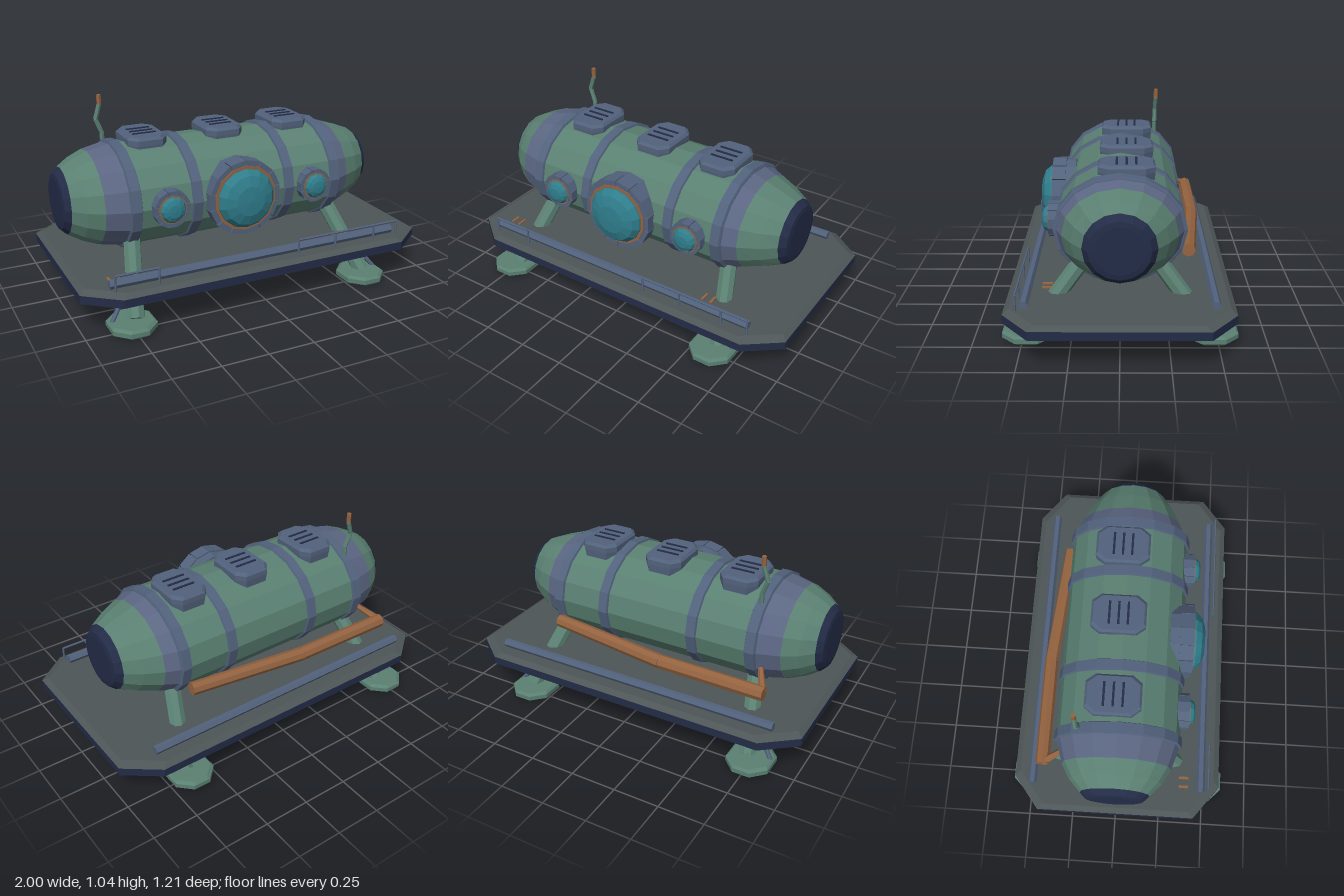
import * as THREE from 'three';

const mat = (name, color) => {
  const m = new THREE.MeshStandardMaterial({ color, flatShading: true });
  m.name = name;
  return m;
};

export function createModel() {
  const M = {
    green: mat('hull green', 0x5a8072),
    slate: mat('slate metal', 0x52627c),
    violet: mat('violet slate collar', 0x5b6682),
    navy: mat('dark navy', 0x232c47),
    deck: mat('deck grey', 0x4d5556),
    glass: mat('teal glass', 0x2f7d8c),
    copper: mat('copper brown', 0x946340),
  };
  const root = new THREE.Group();
  root.name = 'habitatModule';

  const add = (name, geo, material, parent = root) => {
    const m = new THREE.Mesh(geo, material);
    m.name = name;
    parent.add(m);
    return m;
  };
  const V = (p) => new THREE.Vector3(...p);

  // Skin a stack of point rings (counterclockwise about the stacking axis)
  const skin = (rings, capStart = true, capEnd = true) => {
    const pos = [], n = rings[0].length;
    const tri = (a, b, c) => pos.push(...a, ...b, ...c);
    for (let k = 0; k < rings.length - 1; k++) {
      const A = rings[k], B = rings[k + 1];
      for (let i = 0; i < n; i++) {
        const j = (i + 1) % n;
        tri(A[i], A[j], B[j]);
        tri(A[i], B[j], B[i]);
      }
    }
    const first = rings[0], last = rings[rings.length - 1];
    for (let i = 1; i < n - 1; i++) {
      if (capStart) tri(first[0], first[i + 1], first[i]);
      if (capEnd) tri(last[0], last[i], last[i + 1]);
    }
    const g = new THREE.BufferGeometry();
    g.setAttribute('position', new THREE.Float32BufferAttribute(pos, 3));
    g.computeVertexNormals();
    return g;
  };

  // Elliptical rings along x: [x, y radius, z radius]
  const CY = 0.555;
  const barrel = (stations, c0, c1) => skin(stations.map(([x, ry, rz]) =>
    Array.from({ length: 16 }, (_, i) => {
      const a = (i / 16) * Math.PI * 2;
      return [x, CY + ry * Math.cos(a), rz * Math.sin(a)];
    })), c0, c1);

  // Chamfered rectangle stacked along y: levels are [y, inset]
  const slab = (w, d, cx, cz, levels, c0, c1) => skin(levels.map(([y, s]) => {
    const X = w / 2 - s, Z = d / 2 - s;
    return [[-X + cx, Z], [X - cx, Z], [X, Z - cz], [X, -Z + cz],
      [X - cx, -Z], [-X + cx, -Z], [-X, -Z + cz], [-X, Z - cz]].map(([x, z]) => [x, y, z]);
  }), c0, c1);

  // Straight bar between two points
  const bar = (name, a, b, r, material, sides = 6, r2 = r, parent = root) => {
    const A = V(a), B = V(b), dir = B.clone().sub(A);
    const m = add(name, new THREE.CylinderGeometry(r2, r, dir.length(), sides), material, parent);
    m.position.copy(A).add(B).multiplyScalar(0.5);
    m.quaternion.setFromUnitVectors(new THREE.Vector3(0, 1, 0), dir.normalize());
    return m;
  };

  // Hull
  const body = [0.275, 0.333];
  add('hullBody', barrel([[-0.67, ...body], [0.53, ...body]], false, false), M.green);
  add('leftCollar', barrel([[0.53, ...body], [0.62, 0.245, 0.295]], false, false), M.violet);
  add('rightCollar', barrel([[-0.8, 0.25, 0.292], [-0.67, ...body]], false, false), M.violet);
  add('leftNose', barrel([[0.62, 0.245, 0.295], [0.72, 0.212, 0.243], [0.8, 0.18, 0.185]], false, false), M.green);
  add('rightNose', barrel([[-0.945, 0.18, 0.185], [-0.88, 0.218, 0.245], [-0.8, 0.25, 0.292]], false, false), M.green);
  add('leftEndCap', barrel([[0.8, 0.18, 0.185], [0.835, 0.15, 0.155], [0.84, 0.123, 0.123]], false, true), M.navy);
  add('rightEndCap', barrel([[-0.98, 0.123, 0.123], [-0.975, 0.15, 0.155], [-0.945, 0.18, 0.185]], true, false), M.navy);
  for (const x of [-0.65, -0.315, 0.225, 0.515])
    add('hullBand', barrel([[x - 0.032, 0.272, 0.33], [x - 0.026, 0.287, 0.344],
      [x + 0.026, 0.287, 0.344], [x + 0.032, 0.272, 0.33]]), M.slate);

  // Portholes: segmented ring, copper seat, domed glass
  const porthole = (x, R, rg, zRing, zGlass, n) => {
    const g = new THREE.Group();
    g.name = 'porthole';
    g.position.set(x, CY, 0);
    root.add(g);
    const disc = (name, r, z0, z1, m) => {
      const c = add(name, new THREE.CylinderGeometry(r, r, z1 - z0, n), m, g);
      c.rotation.x = Math.PI / 2;
      c.position.z = (z0 + z1) / 2;
    };
    disc('portholeHousing', R * 0.96, 0.25, zRing - 0.008, M.slate);
    disc('copperSeat', rg * 1.1, 0.3, zRing + 0.004, M.copper);
    for (let i = 0; i < n; i++) {
      const a = (i / n) * Math.PI * 2, h = Math.PI / n * 0.94, ri = rg * 1.04;
      const s = new THREE.Shape([[ri, -h], [R, -h], [R, h], [ri, h]].map(([r, t]) =>
        new THREE.Vector2(r * Math.cos(a + t), r * Math.sin(a + t))));
      const b = add('ringSegment', new THREE.ExtrudeGeometry(s, { depth: zRing - 0.305, bevelEnabled: false }), M.slate, g);
      b.position.z = 0.305;
    }
    const d = zGlass - zRing;
    const dome = add('glassDome', new THREE.LatheGeometry([[rg, -0.01], [rg, d * 0.2],
      [rg * 0.84, d * 0.65], [rg * 0.5, d * 0.93], [0, d]].map((p) => new THREE.Vector2(...p)), n), M.glass, g);
    dome.rotation.x = Math.PI / 2;
    dome.position.z = zRing;
  };
  porthole(-0.065, 0.207, 0.162, 0.38, 0.45, 14);
  porthole(-0.475, 0.1, 0.07, 0.375, 0.412, 12);
  porthole(0.365, 0.094, 0.068, 0.375, 0.412, 12);

  // Roof hatches with dark vents
  for (const x of [-0.487, -0.041, 0.362]) {
    const g = new THREE.Group();
    g.name = 'roofHatch';
    g.position.set(x, 0, -0.032);
    root.add(g);
    add('hatchBox', slab(0.216, 0.296, 0.04, 0.05, [[0.77, 0.006], [0.825, 0], [0.853, 0], [0.867, 0.012]]), M.slate, g);
    for (const z of [-0.05, 0, 0.05])
      add('hatchVent', new THREE.BoxGeometry(0.13, 0.008, 0.012), M.navy, g).position.set(0, 0.868, z);
  }

  // Deck
  add('deckHull', slab(2, 1.156, 0.18, 0.14, [[0.15, 0.05], [0.17, 0], [0.215, 0]], true, false), M.navy);
  add('deckTop', slab(2, 1.156, 0.18, 0.14, [[0.215, 0], [0.235, 0.03]], false, true), M.deck);
  for (const s of [-1, 1])
    bar('deckRail', [-0.86, 0.26, s * 0.473], [0.81, 0.26, s * 0.473], 0.024, M.slate);
  for (const x of [-0.83, -0.78, 0.495, 0.545])
    add('copperStrip', new THREE.BoxGeometry(0.014, 0.008, 0.055), M.copper).position.set(x, 0.238, 0.378);

  // Handrails along the front edge
  for (const posts of [[-0.84, -0.61], [0.19, 0.42, 0.67, 0.82]]) {
    for (const x of posts) bar('handrailPost', [x, 0.23, 0.512], [x, 0.318, 0.512], 0.006, M.slate);
    bar('handrailBar', [posts[0], 0.318, 0.512], [posts[posts.length - 1], 0.318, 0.512], 0.006, M.slate);
  }

  // Splayed legs, braces and feet
  for (const s of [-1, 1]) for (const [foot, bottom, top] of [[-0.752, -0.725, -0.645], [0.617, 0.635, 0.54]]) {
    const out = foot < 0 ? -1 : 1;
    bar('leg', [bottom, 0.035, s * 0.465], [top, 0.36, s * 0.215], 0.046, M.green, 8);
    bar('legBrace', [foot + out * 0.1, 0.04, s * 0.46], [foot, 0.17, s * 0.4], 0.012, M.slate);
    add('foot', slab(0.236, 0.262, 0.07, 0.07, [[0, 0.012], [0.012, 0], [0.036, 0], [0.048, 0.012]]), M.green)
      .position.set(foot, 0, s * 0.475);
  }

  // Bent pipe along the back
  const pipe = [[0.505, 0.432, -0.352], [-0.18, 0.4, -0.412], [-0.775, 0.393, -0.413]];
  bar('backPipe', pipe[0], pipe[1], 0.036, M.copper, 8, 0.039);
  bar('backPipe', pipe[1], pipe[2], 0.039, M.copper, 8);
  bar('pipeBranch', [-0.765, 0.4, -0.41], [-0.7, 0.46, -0.29], 0.022, M.copper, 6, 0.014);

  // Crooked mast with copper tip
  const mast = [[-0.648, 0.74, -0.203], [-0.65, 0.835, -0.206], [-0.68, 0.91, -0.21], [-0.655, 0.99, -0.214]];
  for (let i = 0; i < 3; i++) bar('mast', mast[i], mast[i + 1], 0.013, M.green);
  bar('mastTip', mast[3], [-0.655, 1.043, -0.215], 0.013, M.copper);

  return root;
}
